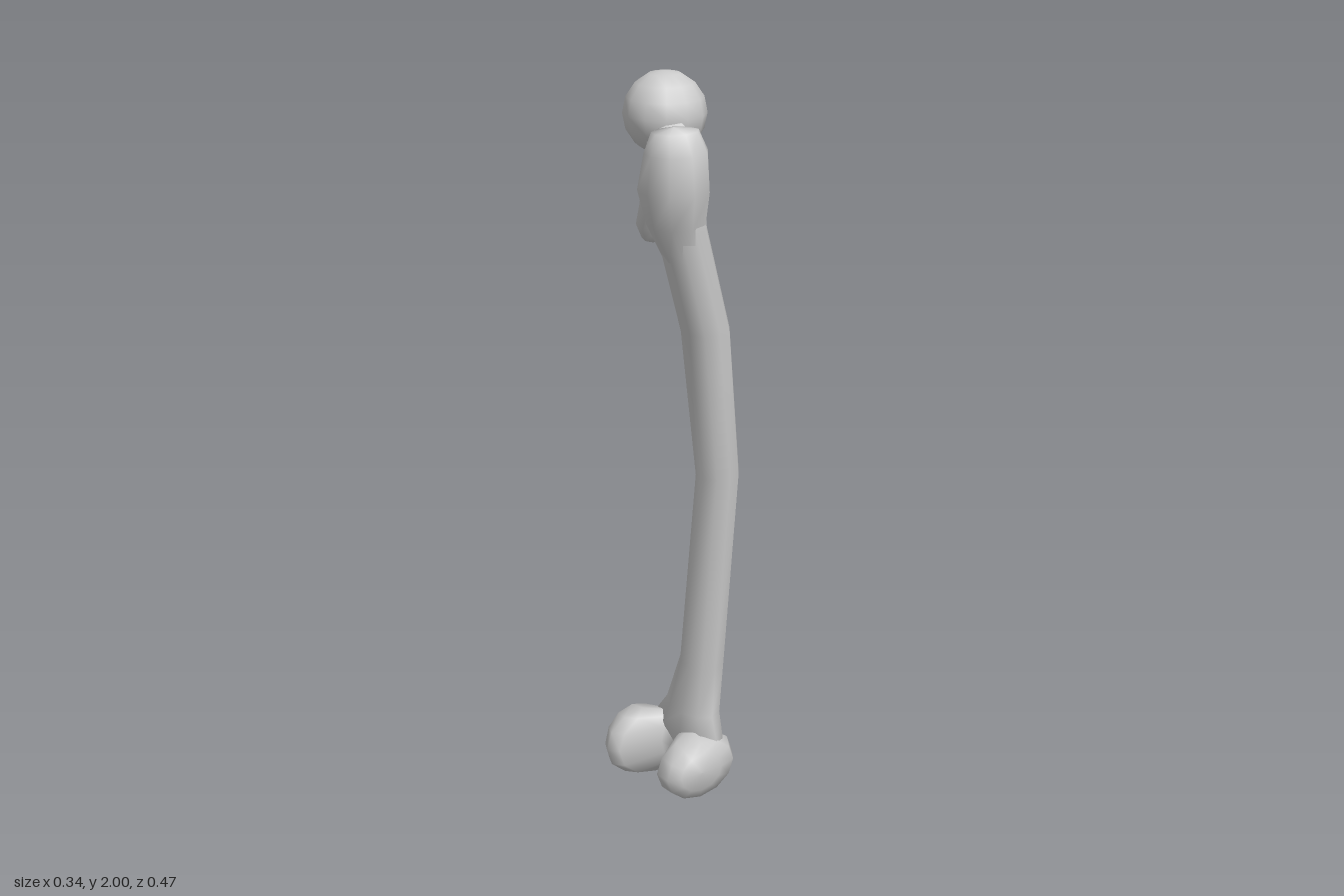
import * as THREE from 'three';

const material = new THREE.MeshStandardMaterial({ color: 0xcccccc });
const X = new THREE.Vector3(1, 0, 0);
const Y = new THREE.Vector3(0, 1, 0);
const Z = new THREE.Vector3(0, 0, 1);

// Smooth skin over elliptical rings [cx, cy, cz, ru, rv] that advance along w;
// ru is measured along u, rv along w x u. Zero radii close an end.
function loft(name, w, u, rings, sides = 10) {
  const v = w.clone().cross(u);
  const positions = [];
  const index = [];
  rings.forEach(([cx, cy, cz, ru, rv], i) => {
    for (let j = 0; j < sides; j++) {
      const a = (j / sides) * Math.PI * 2;
      const p = new THREE.Vector3(cx, cy, cz)
        .addScaledVector(u, ru * Math.cos(a))
        .addScaledVector(v, rv * Math.sin(a));
      positions.push(p.x, p.y, p.z);
      if (i === 0) continue;
      const k = (j + 1) % sides;
      const lo = (i - 1) * sides;
      const hi = i * sides;
      index.push(lo + j, lo + k, hi + k, lo + j, hi + k, hi + j);
    }
  });
  const geometry = new THREE.BufferGeometry();
  geometry.setAttribute('position', new THREE.Float32BufferAttribute(positions, 3));
  geometry.setIndex(index);
  geometry.computeVertexNormals();
  const mesh = new THREE.Mesh(geometry, material);
  mesh.name = name;
  return mesh;
}

// Loft along a sloping line; u is kept horizontal
function slopedLoft(name, from, to, steps, sides) {
  const a = new THREE.Vector3(...from);
  const b = new THREE.Vector3(...to);
  const w = b.clone().sub(a).normalize();
  const u = Y.clone().cross(w).normalize();
  const rings = steps.map(([t, ru, rv]) => [...a.clone().lerp(b, t).toArray(), ru, rv]);
  return loft(name, w, u, rings, sides);
}

export function createModel() {
  const group = new THREE.Group();
  group.name = 'thighBone';

  // Bowed shaft, widening into the knee end
  group.add(loft('shaft', Y, Z, [
    [0.09, 0.08, -0.05, 0, 0],
    [0.09, 0.09, -0.05, 0.11, 0.05],
    [0.085, 0.18, -0.05, 0.14, 0.062],
    [0.087, 0.25, -0.033, 0.095, 0.06],
    [0.093, 0.4, 0, 0.066, 0.058],
    [0.085, 0.98, 0.078, 0.058, 0.057],
    [0.02, 1.39, 0.115, 0.066, 0.061],
    [-0.057, 1.66, 0.125, 0.066, 0.062],
    [-0.075, 1.78, 0.13, 0.07, 0.07],
    [-0.075, 1.8, 0.13, 0, 0],
  ]));

  // Paired knee knuckles with the groove and notch between them
  group.add(loft('condyles', Z, X, [
    [-0.005, 0.11, -0.235, 0, 0],
    [-0.005, 0.105, -0.23, 0.045, 0.055],
    [-0.01, 0.1, -0.195, 0.09, 0.098],
    [0.0, 0.1, -0.16, 0.115, 0.1],
    [0.02, 0.11, -0.12, 0.118, 0.1],
    [0.085, 0.125, -0.085, 0.068, 0.08],
    [0.088, 0.12, -0.045, 0.057, 0.062],
    [0.07, 0.115, -0.01, 0.085, 0.082],
    [0.045, 0.115, 0.04, 0.122, 0.09],
    [0.035, 0.115, 0.085, 0.107, 0.085],
    [0.02, 0.125, 0.113, 0.065, 0.055],
    [0.02, 0.125, 0.116, 0, 0],
  ], 12));

  // Large outer knob at the hip end
  group.add(loft('greaterTrochanter', Y, Z, [
    [-0.04, 1.58, 0.122, 0.055, 0.055],
    [-0.07, 1.67, 0.125, 0.07, 0.072],
    [-0.087, 1.76, 0.14, 0.09, 0.085],
    [-0.085, 1.85, 0.148, 0.068, 0.08],
    [-0.09, 1.9, 0.15, 0.045, 0.06],
    [-0.095, 1.91, 0.15, 0, 0],
  ], 9));

  // Ridge down the back, ending in the small inner knob
  group.add(slopedLoft('trochantericCrest', [-0.075, 1.61, 0.02], [-0.115, 1.84, 0.125], [
    [0, 0, 0], [0.03, 0.025, 0.022], [0.2, 0.042, 0.036],
    [0.45, 0.038, 0.035], [0.85, 0.04, 0.035], [1, 0, 0],
  ], 8));

  // Neck leaning from the shaft to the head
  group.add(slopedLoft('neck', [-0.06, 1.72, 0.13], [0, 1.89, -0.03], [
    [0, 0, 0], [0.05, 0.07, 0.08], [0.4, 0.065, 0.078],
    [0.68, 0.057, 0.062], [0.9, 0.068, 0.07], [1, 0.07, 0.07],
  ]));

  // Ball of the hip joint
  const head = new THREE.Mesh(new THREE.SphereGeometry(0.103, 12, 8), material);
  head.name = 'head';
  head.position.set(0.003, 1.897, -0.041);
  group.add(head);

  return group;
}
